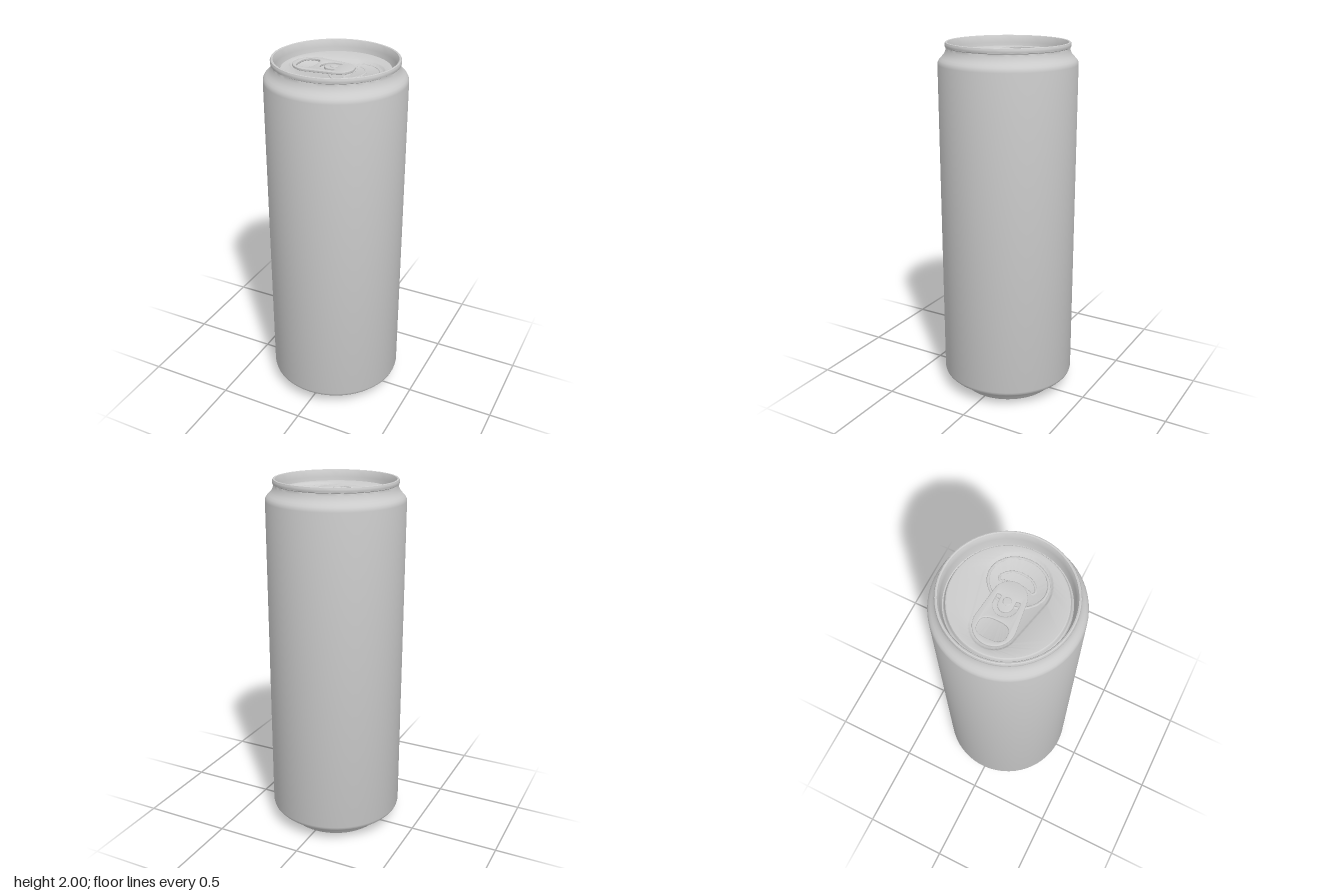
import * as THREE from 'three';
import { toCreasedNormals } from 'three/addons/utils/BufferGeometryUtils.js';

const material = new THREE.MeshStandardMaterial({ color: 0xcccccc });
const SEGMENTS = 64;
const PANEL_Y = 1.945;
const FLOOR_Y = 1.933;

function addMesh(parent, name, geometry, crease = 0.6) {
  const mesh = new THREE.Mesh(toCreasedNormals(geometry, crease), material);
  mesh.name = name;
  parent.add(mesh);
  return mesh;
}

// Outline around two circles of different size lying on the x axis
function capsuleOutline(x1, r1, x2, r2, count = 96) {
  const points = [];
  for (let i = 0; i < count; i++) {
    const a = (i / count) * Math.PI * 2;
    const c = Math.cos(a), s = Math.sin(a);
    const [x, r] = x1 * c + r1 > x2 * c + r2 ? [x1, r1] : [x2, r2];
    points.push(new THREE.Vector2(x + r * c, r * s));
  }
  return points;
}

// Skin of flat loops at given heights, from the outermost loop inwards
function loftLoops(loops) {
  const n = loops[0].points.length;
  const positions = [], indices = [];
  for (const { points, y } of loops) for (const p of points) positions.push(p.x, y, -p.y);
  for (let k = 0; k < loops.length - 1; k++) {
    for (let i = 0; i < n; i++) {
      const a = k * n + i, b = k * n + (i + 1) % n;
      indices.push(a, b, a + n, b, b + n, a + n);
    }
  }
  const geometry = new THREE.BufferGeometry();
  geometry.setAttribute('position', new THREE.Float32BufferAttribute(positions, 3));
  geometry.setIndex(indices);
  return geometry;
}

// Low rounded ridge pressed into the sheet along a closed path
function addBead(parent, name, path, radius, y) {
  const curve = new THREE.CatmullRomCurve3(path.map(([x, z]) => new THREE.Vector3(x, 0, z)), true);
  const bead = addMesh(parent, name, new THREE.TubeGeometry(curve, 72, radius, 8, true), 1.2);
  bead.scale.y = 0.5;
  bead.position.y = y;
}

function createBody() {
  const profile = [];
  // Concave dome under the can
  for (let i = 0; i <= 10; i++) {
    const r = 0.258 * i / 10;
    profile.push([r, 0.1 * (1 - (r / 0.258) ** 2) + 0.004]);
  }
  profile.push(
    // Foot and lower shoulder
    [0.263, 0], [0.272, 0], [0.278, 0.008], [0.288, 0.025], [0.302, 0.041], [0.322, 0.055],
    [0.345, 0.067], [0.362, 0.078], [0.371, 0.088], [0.375, 0.102],
    // Wall and upper shoulder
    [0.375, 1.885], [0.373, 1.897], [0.367, 1.908], [0.356, 1.919], [0.344, 1.931],
    [0.336, 1.944], [0.331, 1.957], [0.328, 1.97],
    // Rolled rim
    [0.333, 1.973], [0.335, 1.98], [0.335, 1.991], [0.332, 1.998], [0.327, 2],
    [0.321, 1.998], [0.317, 1.991],
    // Countersunk groove and edge of the lid
    [0.312, 1.96], [0.307, 1.925], [0.304, 1.915], [0.299, 1.912], [0.295, 1.916],
    [0.292, 1.925], [0.29, 1.938], [0.287, 1.943], [0.282, PANEL_Y],
  );
  return new THREE.LatheGeometry(profile.map(([r, y]) => new THREE.Vector2(r, y)), SEGMENTS);
}

// Flat lid with a teardrop recess
function createLid() {
  const recess = (inset) => capsuleOutline(-0.14, 0.12 - inset, 0.088, 0.172 - inset, SEGMENTS * 2);
  return loftLoops([
    { points: capsuleOutline(0, 0.282, 0, 0.282, SEGMENTS * 2), y: PANEL_Y },
    { points: recess(0), y: PANEL_Y },
    { points: recess(0.004), y: PANEL_Y - 0.002 },
    { points: recess(0.01), y: FLOOR_Y + 0.002 },
    { points: recess(0.014), y: FLOOR_Y },
    { points: capsuleOutline(0, 0, 0, 0, SEGMENTS * 2), y: FLOOR_Y },
  ]);
}

// Pull tab with a finger hole and a C-shaped slot
function createTab() {
  const bevel = 0.004;
  const shape = new THREE.Shape(capsuleOutline(-0.137, 0.103 - bevel, 0.016, 0.084 - bevel));

  const finger = [];
  for (let i = 0; i < 40; i++) {
    const a = (i / 40) * Math.PI * 2;
    const power = (v) => Math.sign(v) * Math.abs(v) ** 0.72;
    finger.push(new THREE.Vector2(-0.16 + 0.053 * power(Math.cos(a)), 0.078 * power(Math.sin(a))));
  }

  const slot = new THREE.Path();
  slot.moveTo(0.012, 0.064);
  slot.lineTo(-0.025, 0.064);
  slot.absarc(-0.025, 0, 0.064, Math.PI / 2, Math.PI * 1.5, false);
  slot.lineTo(0.012, -0.064);
  slot.quadraticCurveTo(0.02, -0.05, 0.012, -0.034);
  slot.lineTo(-0.025, -0.034);
  slot.absarc(-0.025, 0, 0.034, Math.PI * 1.5, Math.PI / 2, true);
  slot.lineTo(0.012, 0.034);
  slot.quadraticCurveTo(0.02, 0.05, 0.012, 0.064);

  shape.holes.push(new THREE.Path(finger), slot);
  const geometry = new THREE.ExtrudeGeometry(shape, {
    depth: 0.006, bevelSize: bevel, bevelThickness: bevel, bevelSegments: 3, curveSegments: 20,
  });
  return geometry.rotateX(-Math.PI / 2);
}

export function createModel() {
  const can = new THREE.Group();
  can.name = 'drinkCan';
  addMesh(can, 'body', createBody());
  addMesh(can, 'lid', createLid(), 0.8);

  // Mouth ridges on the recess floor
  const ring = [];
  for (let i = 0; i < 24; i++) {
    const a = (i / 24) * Math.PI * 2;
    ring.push([0.108 + 0.125 * Math.cos(a), 0.144 * Math.sin(a)]);
  }
  addBead(can, 'mouthRing', ring, 0.007, FLOOR_Y);
  addBead(can, 'mouthPanel', [
    [0.083, -0.085], [0.1, -0.092], [0.128, -0.075], [0.15, -0.04], [0.156, 0],
    [0.15, 0.04], [0.128, 0.075], [0.1, 0.092], [0.083, 0.085], [0.092, 0.045], [0.096, 0], [0.092, -0.045],
  ], 0.006, FLOOR_Y);

  // Pull tab and its rivet
  const tab = addMesh(can, 'pullTab', createTab());
  tab.position.y = FLOOR_Y + 0.007;
  const rivetProfile = [[0.024, 0], [0.021, 0.016], [0.021, 0.019], [0.018, 0.022], [0, 0.023]];
  const rivet = addMesh(can, 'rivet', new THREE.LatheGeometry(
    rivetProfile.map(([r, y]) => new THREE.Vector2(r, y)), 32));
  rivet.position.set(-0.008, FLOOR_Y, 0);

  return can;
}
